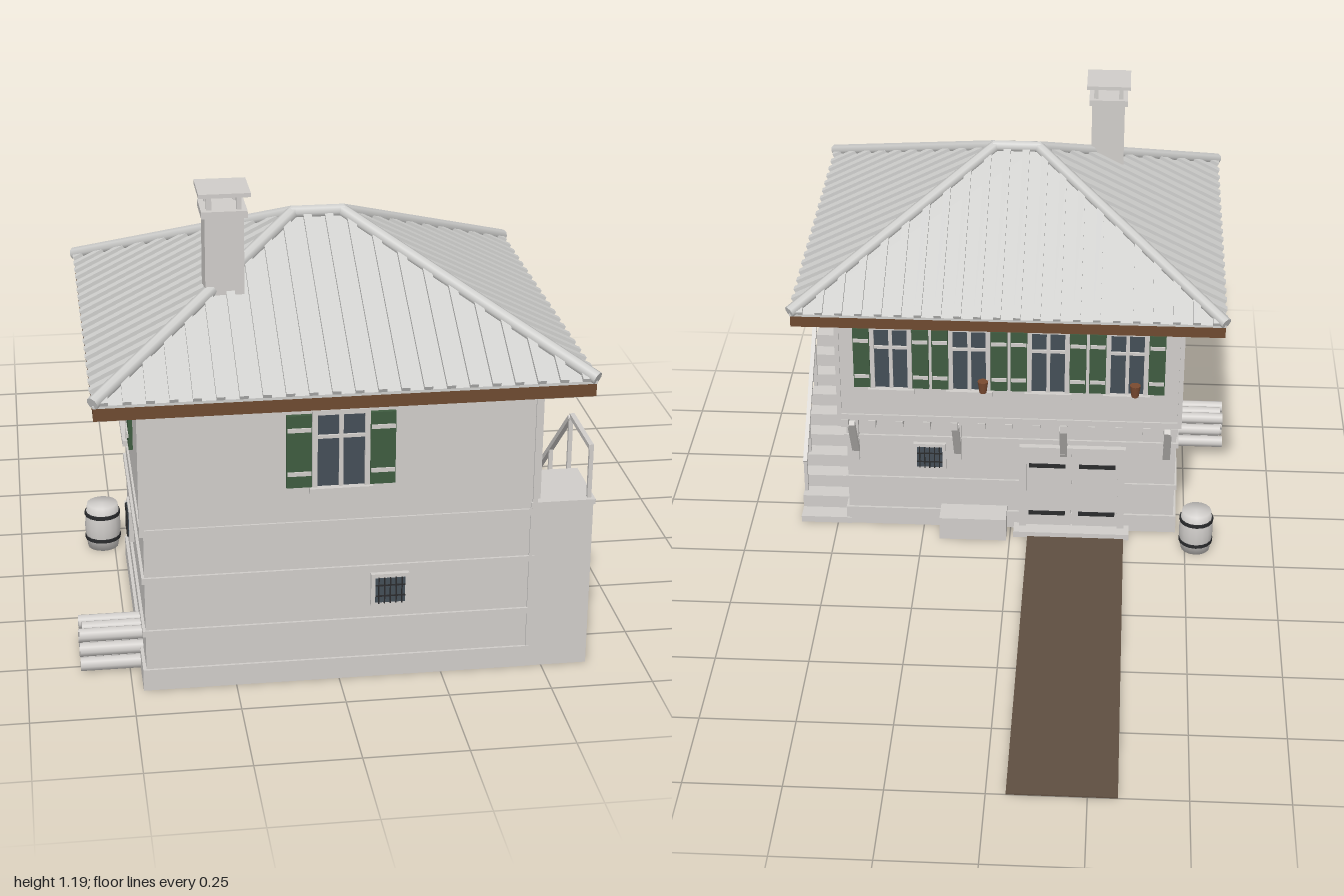
import * as THREE from 'three';
import { ConvexGeometry } from 'three/addons/geometries/ConvexGeometry.js';

const mat = (name, color) => new THREE.MeshStandardMaterial({ name, color });

export function createModel() {
  const M = {
    plaster: mat('plaster', 0xd0cdca), roof: mat('roofTile', 0xcfcfcd), fascia: mat('fasciaWood', 0x6e4a30),
    green: mat('shutterGreen', 0x3f5c40), glass: mat('windowGlass', 0x444e57), iron: mat('iron', 0x2a2b2d),
    path: mat('earthPath', 0x5f4f41), pot: mat('flowerPot', 0x7a4a30),
  };
  const root = new THREE.Group();
  root.name = 'house';
  const group = (name, parent = root) => {
    const g = new THREE.Group();
    g.name = name;
    parent.add(g);
    return g;
  };
  const add = (parent, name, geo, m) => {
    const mesh = new THREE.Mesh(geo, m);
    mesh.name = name;
    parent.add(mesh);
    return mesh;
  };
  // Box given by its extents on each axis
  const box = (p, name, x0, x1, y0, y1, z0, z1, m = M.plaster) => {
    const b = add(p, name, new THREE.BoxGeometry(x1 - x0, y1 - y0, z1 - z0), m);
    b.position.set((x0 + x1) / 2, (y0 + y1) / 2, (z0 + z1) / 2);
    return b;
  };
  // Rectangular or round bar between two points
  const bar = (p, name, a, b, w, h, m = M.plaster, round = false) => {
    const A = new THREE.Vector3(...a), B = new THREE.Vector3(...b), len = A.distanceTo(B);
    const geo = round ? new THREE.CylinderGeometry(w, w, len, 8).rotateX(Math.PI / 2) : new THREE.BoxGeometry(w, h, len);
    const mesh = add(p, name, geo, m);
    mesh.position.copy(A).add(B).multiplyScalar(0.5);
    mesh.lookAt(B);
    return mesh;
  };

  // Masonry ground floor with bands
  const walls = group('walls');
  box(walls, 'lowerWall', -0.466, 0.466, 0, 0.41, 0.165, 0.88);
  box(walls, 'plinth', -0.474, 0.474, 0, 0.055, 0.158, 0.886);
  for (const y of [0.145, 0.285]) box(walls, 'wallBand', -0.473, 0.473, y, y + 0.015, 0.159, 0.886);
  // Upper floor with corner posts and base beam
  box(walls, 'upperWall', -0.471, 0.471, 0.405, 0.787, 0.069, 0.881);
  box(walls, 'baseBeam', -0.476, 0.476, 0.408, 0.425, 0.064, 0.886);
  for (const x of [-0.476, 0.464])
    for (const z of [0.064, 0.874]) box(walls, 'cornerPost', x, x + 0.012, 0.425, 0.787, z, z + 0.012);

  // Overhang joists and braces
  const jetty = group('overhang');
  for (let i = 0; i < 13; i++) {
    const x = -0.456 + i * 0.076;
    box(jetty, 'joist', x - 0.01, x + 0.01, 0.385, 0.408, 0.06, 0.17);
  }
  for (const x of [-0.44, -0.15, 0.15, 0.44]) bar(jetty, 'brace', [x, 0.25, 0.16], [x, 0.39, 0.075], 0.02, 0.016);
  for (const x of [-0.44, -0.15, 0.15, 0.44]) box(jetty, 'bracePost', x - 0.01, x + 0.01, 0.22, 0.39, 0.15, 0.166);

  // Facade frames: local x along the wall, local z outward
  const place = (name, x, z, ry) => {
    const g = group(name);
    g.position.set(x, 0, z);
    g.rotation.y = ry;
    return g;
  };
  const shutteredWindow = (name, x, z, ry, half = 0.067, sw = 0.06) => {
    const g = place(name, x, z, ry), y0 = 0.517, y1 = 0.71;
    box(g, 'glass', -half, half, y0, y1, 0, 0.005, M.glass);
    for (const s of [-1, 1]) {
      const e = s * (half - 0.005);
      box(g, 'frameSide', e - 0.006, e + 0.006, y0, y1, 0, 0.013);
      const c = s * (half + 0.002 + sw / 2);
      box(g, 'shutter', c - sw / 2, c + sw / 2, y0, y1 - 0.01, 0, 0.01, M.green);
      for (const y of [0.553, 0.664]) box(g, 'shutterBatten', c - sw / 2 + 0.002, c + sw / 2 - 0.002, y - 0.005, y + 0.005, 0.008, 0.014);
    }
    box(g, 'frameTop', -half, half, y1 - 0.01, y1 + 0.002, 0, 0.013);
    box(g, 'mullion', -0.005, 0.005, y0, y1, 0, 0.011);
    box(g, 'transom', -half, half, 0.64, 0.648, 0, 0.011);
    box(g, 'sill', -half - 0.008, half + 0.008, 0.503, 0.517, 0, 0.022);
    return g;
  };
  const pi = Math.PI;
  shutteredWindow('frontWindow', 0, 0.881, 0);
  shutteredWindow('rightWindow', 0.471, 0.32, pi / 2);
  shutteredWindow('leftWindow', -0.471, 0.495, -pi / 2);
  for (const x of [-0.322, -0.1075, 0.1075, 0.322]) shutteredWindow('backWindow', x, 0.069, pi, 0.056, 0.045);
  // Flower pots on the back sills
  for (const x of [0.07, -0.345]) {
    const pot = add(root, 'flowerPot', new THREE.CylinderGeometry(0.015, 0.01, 0.035, 10), M.pot);
    pot.position.set(x, 0.534, 0.05);
  }

  // Small barred cellar windows
  const cellarWindow = (x, z, ry) => {
    const g = place('cellarWindow', x, z, ry);
    box(g, 'frame', -0.046, 0.046, 0.194, 0.278, 0, 0.012);
    box(g, 'pane', -0.036, 0.036, 0.204, 0.268, 0.01, 0.014, M.glass);
    for (let i = -2; i <= 2; i++) box(g, 'ironBar', i * 0.014 - 0.0015, i * 0.014 + 0.0015, 0.202, 0.27, 0.013, 0.017, M.iron);
    for (const y of [0.222, 0.25]) box(g, 'ironBar', -0.036, 0.036, y - 0.0015, y + 0.0015, 0.013, 0.017, M.iron);
  };
  cellarWindow(0.121, 0.88, 0);
  cellarWindow(0.23, 0.165, pi);
  cellarWindow(-0.466, 0.43, -pi / 2);

  // Double gate at the back, with strap hinges
  const gate = place('backGate', -0.175, 0.165, pi);
  for (const s of [-1, 1]) {
    box(gate, 'gateLeaf', s * 0.066 - 0.064, s * 0.066 + 0.064, 0.01, 0.265, 0, 0.014);
    box(gate, 'gatePost', s * 0.14 - 0.01, s * 0.14 + 0.01, 0, 0.28, 0, 0.022);
    for (const y of [0.06, 0.22]) box(gate, 'strapHinge', s * 0.071 - 0.052, s * 0.071 + 0.052, y - 0.006, y + 0.006, 0.013, 0.018, M.iron);
  }
  box(gate, 'gateLintel', -0.15, 0.15, 0.265, 0.285, 0, 0.024);
  box(root, 'threshold', -0.34, -0.01, 0, 0.018, 0.11, 0.165);
  box(root, 'stoneBench', 0.01, 0.2, 0, 0.07, 0.09, 0.165);
  box(root, 'path', -0.325, -0.05, 0, 0.004, -1, 0.13, M.path);

  // Upper door at the stair landing
  const door = place('upperDoor', 0.471, 0.795, pi / 2);
  box(door, 'doorLeaf', -0.066, 0.066, 0.445, 0.735, 0, 0.01);
  for (const s of [-1, 1]) box(door, 'doorPost', s * 0.072 - 0.006, s * 0.072 + 0.006, 0.445, 0.745, 0, 0.014);
  box(door, 'doorLintel', -0.078, 0.078, 0.735, 0.748, 0, 0.014);
  for (const y of [0.5, 0.662]) box(door, 'strapHinge', -0.055, 0.055, y - 0.006, y + 0.006, 0.009, 0.015, M.iron);
  box(door, 'doorHandle', 0.044, 0.054, 0.58, 0.59, 0.009, 0.019, M.iron);

  // Solid stair with landing
  const stair = group('stair');
  box(stair, 'landing', 0.46, 0.612, 0, 0.432, 0.71, 0.885);
  box(stair, 'landingSlab', 0.46, 0.617, 0.43, 0.442, 0.706, 0.887);
  const steps = 11, run = 0.555 / steps, rise = 0.442 / (steps + 0.5);
  for (let i = 0; i < steps; i++) {
    const z = 0.71 - i * run;
    box(stair, 'step', 0.46, 0.606, 0, 0.442 - (i + 1) * rise, z - run, z);
  }
  // Railing
  const rail = group('railing');
  const railY = z => 0.572 - (0.69 - z) * 0.9;
  for (const z of [0.69, 0.51, 0.325, 0.235]) box(rail, 'railPost', 0.594, 0.604, railY(z) - 0.16, railY(z), z - 0.005, z + 0.005);
  bar(rail, 'slopedRail', [0.599, railY(0.69), 0.69], [0.599, railY(0.23), 0.23], 0.012, 0.012);
  box(rail, 'landingPost', 0.599, 0.609, 0.44, 0.58, 0.865, 0.875);
  box(rail, 'landingRail', 0.597, 0.609, 0.568, 0.58, 0.685, 0.875);

  // Hipped roof shell
  const roof = group('roof'), zc = 0.477, W = 0.578, D = 0.512, R = 0.06, y0 = 0.792, y1 = 1.055;
  const pts = [];
  for (const sx of [-1, 1]) {
    for (const sz of [-1, 1])
      for (const y of [0.785, y0]) pts.push(new THREE.Vector3(sx * W, y, zc + sz * D));
    pts.push(new THREE.Vector3(sx * R, y1, zc));
  }
  add(roof, 'roofShell', new ConvexGeometry(pts), M.roof);
  // Raised ribs running up each slope, ending at the hips
  const ribs = 21;
  for (const s of [-1, 1]) {
    for (let i = 0; i <= ribs; i++) {
      const x = (i / ribs - 0.5) * 2 * (W - 0.025);
      const t = Math.min(1, (W - Math.abs(x)) / (W - R));
      bar(roof, 'roofRib', [x, y0 + 0.003, zc + s * (D + 0.002)], [x, y0 + 0.003 + (y1 - y0) * t, zc + s * D * (1 - t)], 0.02, 0.012, M.roof);
    }
    for (let i = 0; i < 20; i++) {
      const z = ((i + 0.5) / 20 - 0.5) * 2 * (D - 0.005);
      const t = 1 - Math.abs(z) / D;
      bar(roof, 'roofRib', [s * (W + 0.002), y0 + 0.003, zc + z], [s * (W - (W - R) * t), y0 + 0.003 + (y1 - y0) * t, zc + z], 0.02, 0.012, M.roof);
    }
    // Round caps along the hips
    for (const sz of [-1, 1]) bar(roof, 'hipCap', [s * W, y0 + 0.006, zc + sz * D], [s * R, y1 + 0.004, zc], 0.016, 0, M.roof, true);
    // Fascia boards
    const fz = zc + s * (D - 0.008), fx = s * (W - 0.008);
    box(roof, 'fascia', -W + 0.002, W - 0.002, 0.754, 0.787, fz - 0.007, fz + 0.007, M.fascia);
    box(roof, 'fascia', fx - 0.007, fx + 0.007, 0.754, 0.787, zc - D + 0.002, zc + D - 0.002, M.fascia);
  }
  bar(roof, 'ridgeCap', [-R - 0.006, y1 + 0.004, zc], [R + 0.006, y1 + 0.004, zc], 0.016, 0, M.roof, true);

  // Chimney with raised cap
  const chimney = group('chimney'), cx = -0.25, cz = 0.66;
  const slab = (name, r, a, b) => box(chimney, name, cx - r, cx + r, a, b, cz - r, cz + r);
  slab('chimneyStack', 0.046, 0.88, 1.13);
  slab('chimneyCollar', 0.054, 1.128, 1.145);
  for (const sx of [-1, 1])
    for (const sz of [-1, 1]) {
      const x = cx + sx * 0.035, z = cz + sz * 0.035;
      box(chimney, 'capLeg', x - 0.006, x + 0.006, 1.145, 1.182, z - 0.006, z + 0.006);
    }
  slab('chimneyCap', 0.061, 1.18, 1.19);

  // Stacked logs
  const logs = group('woodpile');
  for (let row = 0; row < 3; row++)
    for (let i = 0; i < 5 - row; i++) {
      const z = 0.63 + i * 0.035 + row * 0.0175, y = 0.018 + row * 0.03;
      bar(logs, 'log', [-0.62 + ((i + row) % 2) * 0.008, y, z], [-0.466, y, z], 0.0175, 0, M.plaster, true);
    }

  // Barrel with iron hoops
  const barrel = group('barrel');
  barrel.position.set(-0.53, 0, 0.09);
  const profile = [[0, 0], [0.041, 0], [0.046, 0.035], [0.048, 0.062], [0.046, 0.09], [0.041, 0.125], [0, 0.125]];
  add(barrel, 'barrelBody', new THREE.LatheGeometry(profile.map(p => new THREE.Vector2(...p)), 16), M.plaster);
  for (const y of [0.03, 0.098]) add(barrel, 'hoop', new THREE.CylinderGeometry(0.048, 0.048, 0.01, 16), M.iron).position.y = y;
  return root;
}
